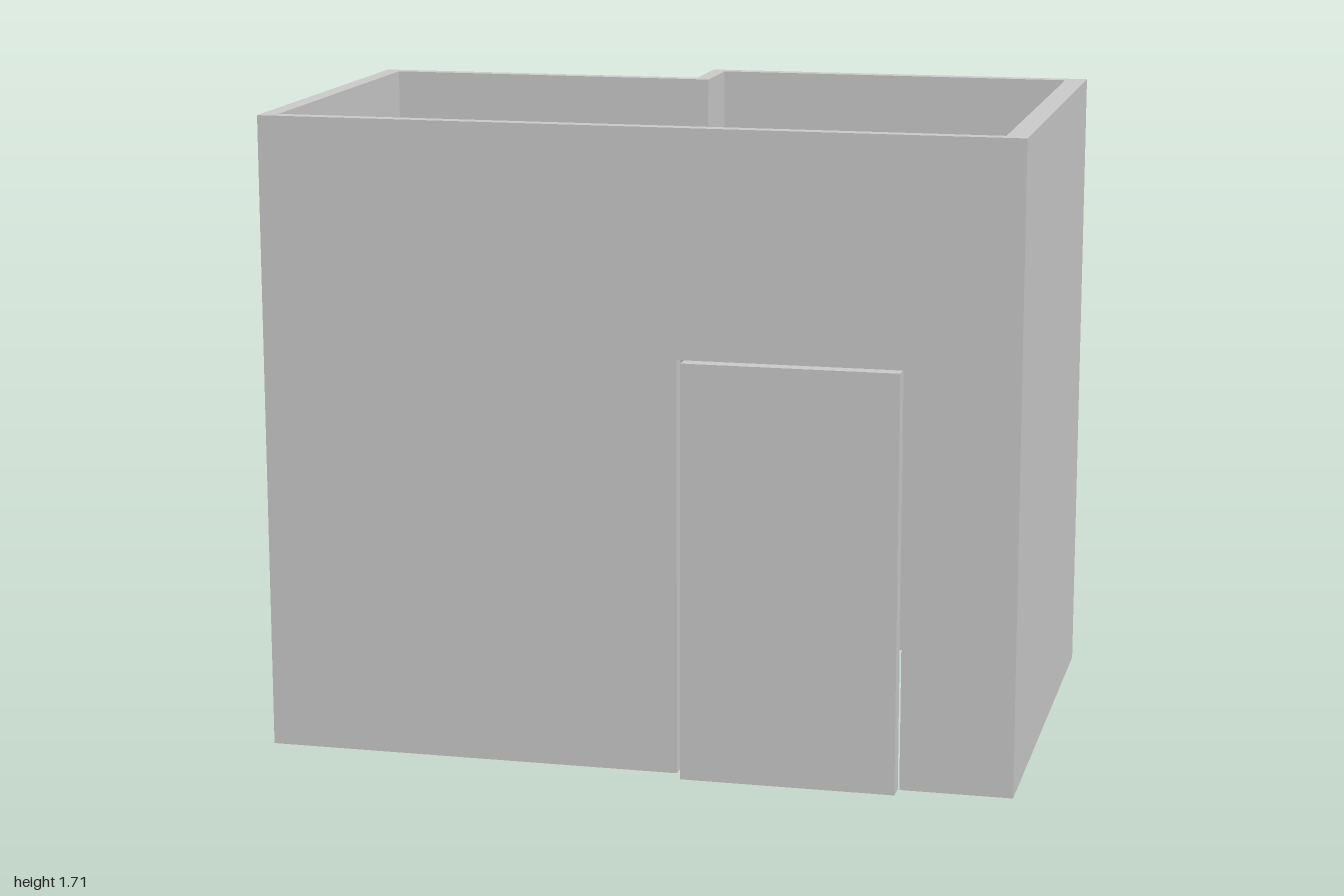
import * as THREE from 'three';

const material = new THREE.MeshStandardMaterial({ color: 0xcccccc });

function shapeFrom(points) {
  return new THREE.Shape(points.map(([x, y]) => new THREE.Vector2(x, y)));
}

function addMesh(parent, name, geometry) {
  const mesh = new THREE.Mesh(geometry, material);
  mesh.name = name;
  parent.add(mesh);
  return mesh;
}

// Box given by its lower and upper corners
function addBox(parent, name, [x0, y0, z0], [x1, y1, z1]) {
  const mesh = addMesh(parent, name, new THREE.BoxGeometry(x1 - x0, y1 - y0, z1 - z0));
  mesh.position.set((x0 + x1) / 2, (y0 + y1) / 2, (z0 + z1) / 2);
  return mesh;
}

// Moulding swept up, across and down around the doorway, with mitred corners
function casingGeometry(x0, x1, y0, y1, z, profile) {
  const stations = [
    (o) => [x0 - o, y0],
    (o) => [x0 - o, y1 + o],
    (o) => [x1 + o, y1 + o],
    (o) => [x1 + o, y0],
  ];
  const positions = [];
  const point = (s, p) => {
    const [offset, height] = profile[p % profile.length];
    return [...stations[s](offset), z - height];
  };
  const tri = (a, b, c) => positions.push(...a, ...b, ...c);
  for (let s = 0; s < 3; s++) {
    for (let p = 0; p < profile.length; p++) {
      const a = point(s, p), b = point(s, p + 1);
      const c = point(s + 1, p + 1), d = point(s + 1, p);
      tri(a, c, b);
      tri(a, d, c);
    }
  }
  // closed feet
  for (let p = 1; p < profile.length - 1; p++) {
    tri(point(0, 0), point(0, p), point(0, p + 1));
    tri(point(3, 0), point(3, p + 1), point(3, p));
  }
  const geometry = new THREE.BufferGeometry();
  geometry.setAttribute('position', new THREE.Float32BufferAttribute(positions, 3));
  geometry.computeVertexNormals();
  return geometry;
}

export function createModel() {
  const model = new THREE.Group();
  model.name = 'room';
  const base = 0.01, top = 1.71;
  const frontIn = 0.6, frontOut = 0.638;

  // Side and stepped back walls, extruded from the floor plan
  const plan = shapeFrom([
    [-1, frontIn], [-1, -0.44], [-0.08, -0.44], [-0.08, -0.655], [1, -0.655], [1, frontIn],
    [0.943, frontIn], [0.943, -0.615], [-0.04, -0.615], [-0.04, -0.403], [-0.955, -0.403], [-0.955, frontIn],
  ]);
  const walls = new THREE.ExtrudeGeometry(plan, { depth: top - base, bevelEnabled: false });
  walls.rotateX(Math.PI / 2).translate(0, top, 0);
  addMesh(model, 'sideAndBackWalls', walls);

  // Front wall with the doorway notched out
  const front = shapeFrom([
    [-1, base], [0.115, base], [0.115, 1.115], [0.705, 1.115], [0.705, base], [1, base], [1, top], [-1, top],
  ]);
  const frontWall = new THREE.ExtrudeGeometry(front, { depth: frontOut - frontIn, bevelEnabled: false });
  frontWall.translate(0, 0, frontIn);
  addMesh(model, 'frontWall', frontWall);

  // Door
  const door = new THREE.Group();
  door.name = 'door';
  model.add(door);
  addBox(door, 'doorPanel', [0.128, 0, 0.602], [0.695, 1.11, 0.655]);
  const profile = [[0, 0], [0, 0.01], [0.012, 0.018], [0.062, 0.018], [0.085, 0]];
  addMesh(door, 'innerCasing', casingGeometry(0.125, 0.7, base, 1.108, frontIn, profile));

  // Lever handle on the inside
  addBox(door, 'handleStem', [0.605, 0.54, 0.553], [0.622, 0.557, 0.603]);
  addBox(door, 'handleLever', [0.525, 0.54, 0.553], [0.606, 0.557, 0.566]);

  return model;
}
